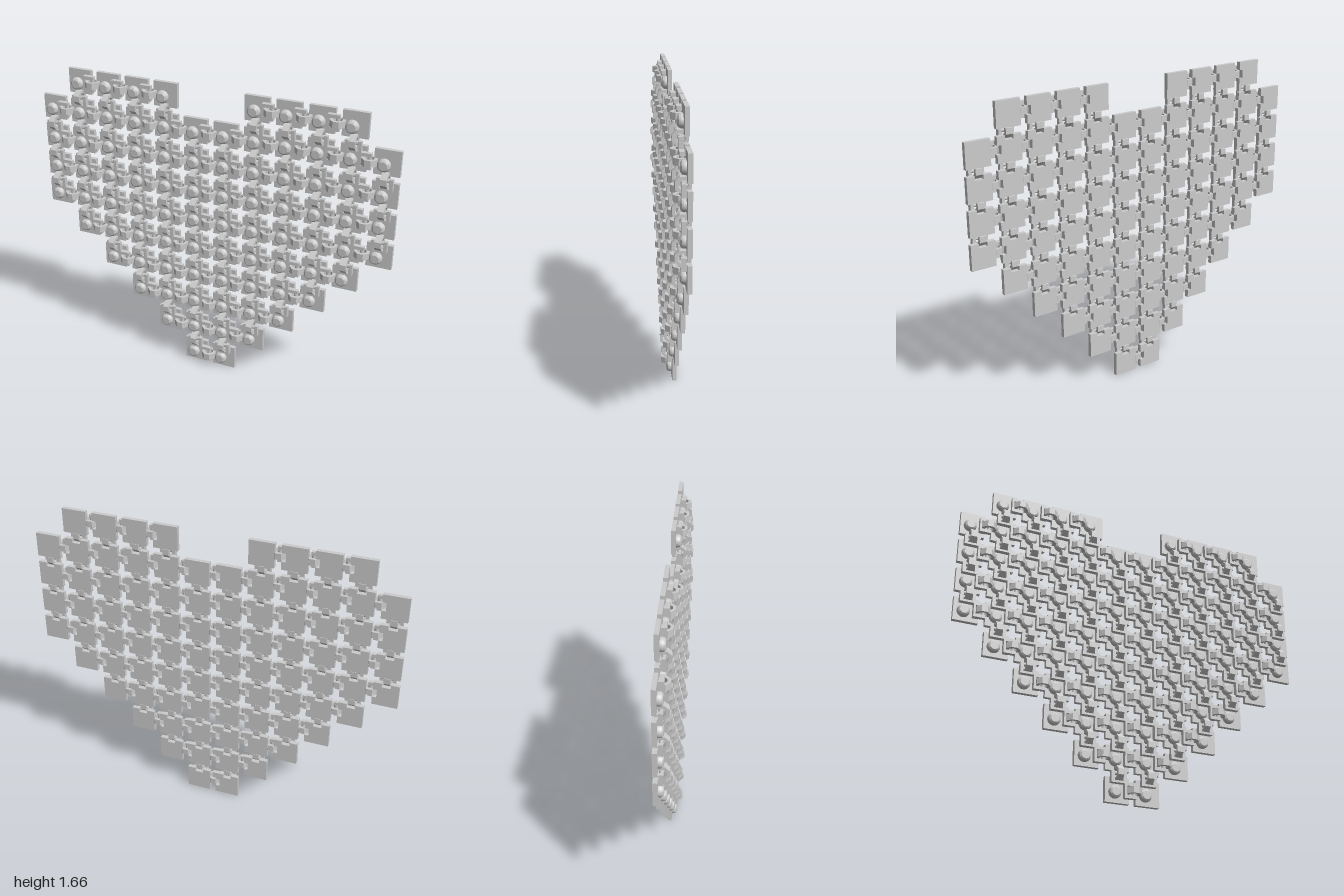
import * as THREE from 'three';
import { toCreasedNormals } from 'three/addons/utils/BufferGeometryUtils.js';

const PITCH = 0.1696, SIZE = 0.134, HALF = SIZE / 2, GAP = PITCH / 2;
const BACK = -0.038, FACE = -0.015, ARM = 0.011;
const NOTCH_W = 0.023, NOTCH_D = 0.022;
const material = new THREE.MeshStandardMaterial({ color: 0xcccccc, side: THREE.DoubleSide });

// Column range [first, last] of tiles for each row, bottom to top
const ROWS = [
  [[5, 6]], [[4, 7]], [[3, 8]], [[2, 9]], [[1, 10]],
  [[0, 11]], [[0, 11]], [[0, 11]], [[0, 11]], [[1, 4], [7, 10]],
];
const hasTile = (c, r) => !!ROWS[r] && ROWS[r].some(([a, b]) => c >= a && c <= b);

function part(name, geometry, x = 0, y = 0, z = 0) {
  const mesh = new THREE.Mesh(geometry, material);
  mesh.name = name;
  mesh.position.set(x, y, z);
  return mesh;
}

// Square plate, cut out at the top and right edge where a link swings
function plateGeometry(top, right) {
  const s = new THREE.Shape();
  const inner = HALF - NOTCH_D;
  s.moveTo(-HALF, -HALF);
  s.lineTo(HALF, -HALF);
  if (right) {
    s.lineTo(HALF, -NOTCH_W);
    s.lineTo(inner, -NOTCH_W);
    s.lineTo(inner, NOTCH_W);
    s.lineTo(HALF, NOTCH_W);
  }
  s.lineTo(HALF, HALF);
  if (top) {
    s.lineTo(NOTCH_W, HALF);
    s.lineTo(NOTCH_W, inner);
    s.lineTo(-NOTCH_W, inner);
    s.lineTo(-NOTCH_W, HALF);
  }
  s.lineTo(-HALF, HALF);
  s.closePath();
  return new THREE.ExtrudeGeometry(s, { depth: FACE - BACK, bevelEnabled: false });
}

// Octagonal ring with its axis along x
function ringGeometry(outer, inner, width) {
  const corners = (r) => Array.from({ length: 8 }, (_, i) => {
    const a = (i + 0.5) * Math.PI / 4;
    return new THREE.Vector2(Math.cos(a) * r, Math.sin(a) * r);
  });
  const s = new THREE.Shape(corners(outer));
  s.holes.push(new THREE.Path(corners(inner)));
  return new THREE.ExtrudeGeometry(s, { depth: width, bevelEnabled: false })
    .translate(0, 0, -width / 2).rotateY(Math.PI / 2);
}

// Round stud with a bevelled top
function studGeometry() {
  const profile = [[0.034, FACE], [0.034, -0.003], [0.03, 0.006], [0.022, 0.012], [0, 0.012]]
    .map(([x, y]) => new THREE.Vector2(x, y));
  return toCreasedNormals(new THREE.LatheGeometry(profile, 20).rotateX(Math.PI / 2), 0.5);
}

const ring = ringGeometry(0.041, 0.024, 0.034);
const pin = new THREE.CylinderGeometry(0.011, 0.011, 0.084, 8).rotateZ(Math.PI / 2);
const armLength = GAP + 0.011 - (HALF - 0.034);
const arm = new THREE.BoxGeometry(0.018, armLength, ARM * 2);
const foot = new THREE.BoxGeometry(0.018, 0.034, ARM - FACE);
const bridge = new THREE.BoxGeometry(0.05, 0.012, ARM - FACE);
const stud = studGeometry();

// Hinge from a tile towards +y: a pinned fork, and the ring of the next tile
function createJoint(name) {
  const g = new THREE.Group();
  g.name = name;
  const mid = (ARM + FACE) / 2;
  for (const side of [-1, 1]) {
    g.add(part('forkArm', arm, side * 0.033, HALF - 0.034 + armLength / 2, 0));
    g.add(part('forkFoot', foot, side * 0.033, HALF - 0.017, mid));
  }
  g.add(part('forkBridge', bridge, 0, HALF - 0.028, mid));
  g.add(part('hingePin', pin, 0, GAP, 0));
  g.add(part('linkRing', ring, 0, GAP, 0));
  return g;
}

export function createModel() {
  const model = new THREE.Group();
  model.name = 'heartOfLinkedTiles';
  const plates = {};

  for (let r = 0; r < ROWS.length; r++) {
    for (let c = 0; c < 12; c++) {
      if (!hasTile(c, r)) continue;
      const top = hasTile(c, r + 1), right = hasTile(c + 1, r);
      const key = `${top}${right}`;
      plates[key] ??= plateGeometry(top, right);

      const tile = new THREE.Group();
      tile.name = 'tile';
      tile.position.set((c - 5.5) * PITCH, HALF + r * PITCH, 0);
      tile.add(part('plate', plates[key], 0, 0, BACK));
      tile.add(part('stud', stud, -0.015, -0.012, 0));
      if (top) tile.add(createJoint('topJoint'));
      if (right) {
        const joint = createJoint('sideJoint');
        joint.rotation.z = -Math.PI / 2;
        tile.add(joint);
      }
      model.add(tile);
    }
  }
  return model;
}
